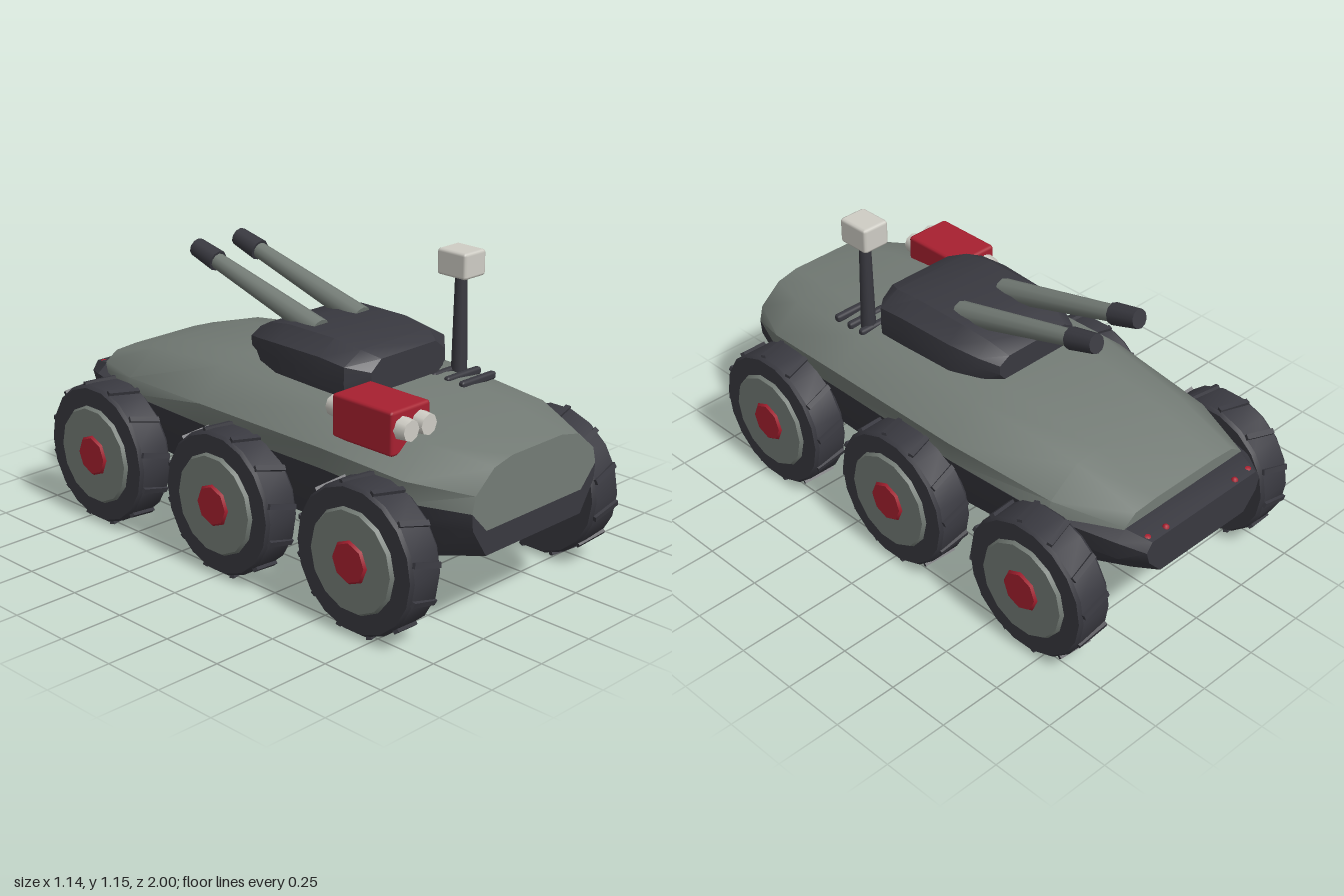
import * as THREE from 'three';
import { toCreasedNormals } from 'three/addons/utils/BufferGeometryUtils.js';
import { RoundedBoxGeometry } from 'three/addons/geometries/RoundedBoxGeometry.js';

const flat = (name, color) => Object.assign(new THREE.MeshStandardMaterial({ color }), { name });

// Closed loft through mirrored half sections [z, [x, y], ...], front to back, bottom to top
function loft(sections, crease) {
  const rings = sections.map(([z, ...half]) => {
    const mirrored = half.map(([x, y]) => [-x, y]).reverse();
    return [...half, ...mirrored].map(([x, y]) => new THREE.Vector3(x, y, z));
  });
  const n = rings[0].length;
  const index = [];
  for (let i = 0; i < rings.length - 1; i++) {
    for (let j = 0; j < n; j++) {
      const k = (j + 1) % n, a = i * n, b = a + n;
      index.push(a + j, b + j, b + k, a + j, b + k, a + k);
    }
  }
  const cap = (ring) => THREE.ShapeUtils.triangulateShape(ring.map((p) => new THREE.Vector2(p.x, p.y)), []);
  const last = (rings.length - 1) * n;
  cap(rings[0]).forEach(([a, b, c]) => index.push(a, b, c));
  cap(rings[rings.length - 1]).forEach(([a, b, c]) => index.push(last + a, last + c, last + b));
  const g = new THREE.BufferGeometry().setFromPoints(rings.flat());
  g.setIndex(index);
  return toCreasedNormals(g, crease);
}

export function createModel() {
  const model = new THREE.Group();
  model.name = 'sixWheeledVehicle';
  const grey = flat('hullGrey', 0x747c76);
  const dark = flat('darkMetal', 0x393940);
  const red = flat('red', 0xa82030);
  const white = flat('offWhite', 0xcfcdc5);

  const add = (name, geo, mat, x = 0, y = 0, z = 0, parent = model) => {
    const m = new THREE.Mesh(geo, mat);
    m.name = name;
    m.position.set(x, y, z);
    parent.add(m);
    return m;
  };

  // Hull: dark tub below, grey shell above
  add('lowerHull', loft([
    [1, [0.25, 0.31], [0.32, 0.42], [0.325, 0.48], [0.25, 0.40]],
    [0.78, [0.34, 0.27], [0.395, 0.40], [0.41, 0.48], [0.28, 0.44]],
    [0.4, [0.35, 0.265], [0.40, 0.40], [0.425, 0.50], [0.30, 0.45]],
    [-0.2, [0.35, 0.27], [0.405, 0.40], [0.43, 0.50], [0.30, 0.45]],
    [-0.65, [0.33, 0.29], [0.39, 0.41], [0.41, 0.50], [0.30, 0.47]],
    [-0.905, [0.26, 0.345], [0.33, 0.42], [0.345, 0.50], [0.30, 0.535]],
    [-1, [0.22, 0.365], [0.28, 0.43], [0.295, 0.48], [0.27, 0.515]],
  ], 0.5), dark);
  add('upperHull', loft([
    [1, [0.25, 0.40], [0.325, 0.48], [0.31, 0.54], [0.22, 0.615], [0.13, 0.635]],
    [0.78, [0.28, 0.44], [0.41, 0.48], [0.417, 0.56], [0.30, 0.658], [0.17, 0.672]],
    [0.4, [0.30, 0.45], [0.425, 0.50], [0.435, 0.58], [0.31, 0.69], [0.19, 0.705]],
    [-0.2, [0.30, 0.45], [0.43, 0.50], [0.44, 0.583], [0.31, 0.70], [0.19, 0.716]],
    [-0.65, [0.30, 0.47], [0.407, 0.50], [0.395, 0.56], [0.27, 0.65], [0.16, 0.662]],
    [-0.905, [0.25, 0.48], [0.31, 0.51], [0.302, 0.54], [0.25, 0.575], [0.15, 0.582]],
  ], 0.75), grey);

  // Turret
  add('turret', loft([
    [0.415, [0.15, 0.71], [0.19, 0.745], [0.19, 0.79], [0.14, 0.83]],
    [0.35, [0.255, 0.69], [0.26, 0.75], [0.258, 0.81], [0.175, 0.855]],
    [0.23, [0.255, 0.69], [0.262, 0.76], [0.26, 0.82], [0.185, 0.872]],
    [0, [0.25, 0.69], [0.255, 0.76], [0.25, 0.815], [0.185, 0.872]],
    [-0.12, [0.21, 0.70], [0.222, 0.76], [0.22, 0.80], [0.165, 0.848]],
    [-0.195, [0.16, 0.72], [0.185, 0.75], [0.185, 0.785], [0.14, 0.81]],
  ], 0.6), dark);

  // Twin guns, raised towards the rear
  for (const s of [-1, 1]) {
    const gun = new THREE.Group();
    gun.name = s > 0 ? 'leftGun' : 'rightGun';
    gun.position.set(s * 0.107, 0.848, 0.08);
    gun.rotation.x = -Math.PI / 2 + 0.27;
    model.add(gun);
    add('barrel', new THREE.CylinderGeometry(0.03, 0.044, 0.6, 10), grey, 0, 0.3, 0, gun);
    add('muzzle', new THREE.CylinderGeometry(0.036, 0.041, 0.12, 10), dark, 0, 0.62, 0, gun);
  }

  // Sensor mast
  add('mast', new THREE.CylinderGeometry(0.022, 0.03, 0.40, 10), dark, 0.252, 0.87, 0.43);
  add('mastHead', new RoundedBoxGeometry(0.113, 0.098, 0.135, 1, 0.012), white, 0.253, 1.102, 0.428);

  // Deck vents
  for (const s of [-1, 1]) {
    for (const z of [0.41, 0.475, 0.545]) {
      add('ventSlat', new RoundedBoxGeometry(0.18, 0.03, 0.028, 1, 0.01), dark, s * 0.22, 0.695, z);
    }
  }

  // Lamp box with paired lamps at both ends
  add('lampBox', new RoundedBoxGeometry(0.19, 0.16, 0.28, 1, 0.012), red, -0.295, 0.69, 0.56);
  for (const x of [-0.34, -0.253]) {
    for (const s of [-1, 1]) {
      const lamp = add(s > 0 ? 'frontLamp' : 'rearLamp',
        new THREE.CylinderGeometry(0.038, 0.044, 0.05, 8), white, x, 0.705, 0.56 + s * 0.157);
      lamp.rotation.x = s * Math.PI / 2;
    }
    const lens = add('rearLens', new THREE.CylinderGeometry(0.03, 0.03, 0.004, 8), dark, x, 0.705, 0.377);
    lens.rotation.x = Math.PI / 2;
  }

  // Tail lights
  for (const s of [-1, 1]) {
    add('tailLight', new THREE.SphereGeometry(0.029, 10, 8), red, s * 0.262, 0.495, -0.968);
    add('smallTailLight', new THREE.SphereGeometry(0.014, 8, 6), red, s * 0.18, 0.515, -0.98);
  }

  // Wheels: parts are turned about the axle, with the outer face towards +x
  const onAxle = (g) => g.rotateZ(-Math.PI / 2);
  const profile = [[0, 0.405], [0.26, 0.405], [0.27, 0.418], [0.27, 0.538], [0.26, 0.55], [0, 0.55]]
    .map(([r, h]) => new THREE.Vector2(r, h));
  const tyre = toCreasedNormals(onAxle(new THREE.LatheGeometry(profile, 18)), 0.5);
  const hub = onAxle(new THREE.CylinderGeometry(0.183, 0.196, 0.02, 14));
  const hubCap = onAxle(new THREE.CylinderGeometry(0.072, 0.086, 0.016, 8));
  const axle = onAxle(new THREE.CylinderGeometry(0.075, 0.055, 0.16, 12));
  const cleat = new THREE.BoxGeometry(0.125, 0.02, 0.02);
  for (const s of [1, -1]) {
    for (const z of [0.677, 0, -0.677]) {
      const wheel = new THREE.Group();
      wheel.name = s > 0 ? 'leftWheel' : 'rightWheel';
      wheel.position.set(0, 0.283, z);
      wheel.rotation.y = s > 0 ? 0 : Math.PI;
      model.add(wheel);
      add('tyre', tyre, dark, 0, 0, 0, wheel);
      add('hub', hub, grey, 0.553, 0, 0, wheel);
      add('hubCap', hubCap, red, 0.564, 0, 0, wheel);
      add('axle', axle, grey, 0.33, 0, 0, wheel);
      for (let i = 0; i < 12; i++) {
        const spoke = new THREE.Group();
        spoke.name = 'tread';
        spoke.rotation.x = (i + 0.35) * Math.PI / 6;
        wheel.add(spoke);
        add('cleat', cleat, dark, 0.478, 0.268, 0, spoke).rotation.y = s * 0.27;
      }
    }
  }
  return model;
}
